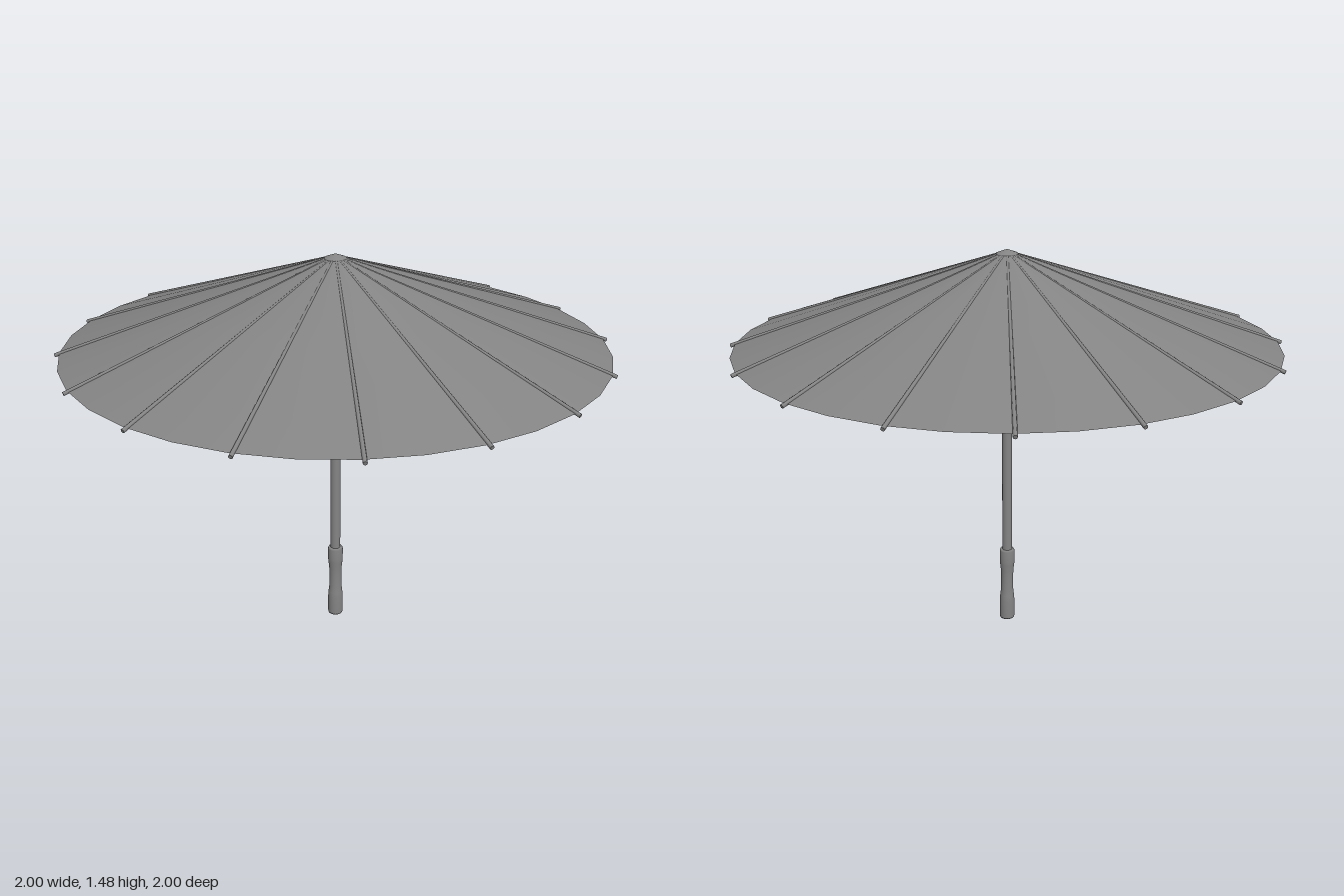
import * as THREE from 'three';

const RIBS = 16;
const APEX = 1.474, RIM_Y = 1.132, RIM_R = 0.998;
const canopyY = (r) => APEX + (RIM_Y - APEX) * (r / RIM_R);

export function createModel() {
  const group = new THREE.Group();
  const mat = new THREE.MeshStandardMaterial({ color: 0x848484 });
  const thin = new THREE.MeshStandardMaterial({ color: 0x848484, side: THREE.DoubleSide });

  const add = (name, geometry, material = mat, parent = group) => {
    const mesh = new THREE.Mesh(geometry, material);
    mesh.name = name;
    parent.add(mesh);
    return mesh;
  };
  const lathe = (name, points, segments = 24, material = mat) =>
    add(name, new THREE.LatheGeometry(points.map(([r, y]) => new THREE.Vector2(r, y)), segments), material);

  // Straight round rod between two points, with its own radius at each end
  const rod = (name, a, b, ra, rb, parent) => {
    const dir = b.clone().sub(a);
    const mesh = add(name, new THREE.CylinderGeometry(rb, ra, dir.length(), 8), mat, parent);
    mesh.position.copy(a).add(b).multiplyScalar(0.5);
    mesh.quaternion.setFromUnitVectors(new THREE.Vector3(0, 1, 0), dir.normalize());
  };

  // Canopy: thin shallow cone
  lathe('canopy', [[RIM_R, RIM_Y], [RIM_R / 2, canopyY(RIM_R / 2)], [0.005, canopyY(0.005)]], 32, thin);

  // Low cap following the slope of the peak
  lathe('topCap', [[0, 1.452], [0.039, 1.452], [0.041, 1.457], [0.039, 1.464], [0.02, 1.471], [0, 1.478]]);

  // Shaft
  const shaft = add('shaft', new THREE.CylinderGeometry(0.019, 0.019, 1.2, 20));
  shaft.position.y = 0.86;

  // Grip with a narrow waist
  lathe('handle', [
    [0, 0], [0.027, 0], [0.029, 0.006], [0.029, 0.075], [0.027, 0.1], [0.024, 0.125],
    [0.0235, 0.18], [0.025, 0.21], [0.028, 0.235], [0.029, 0.25], [0.029, 0.292], [0.026, 0.298], [0, 0.298],
  ]);

  // Upper hub and sliding runner
  const collar = (name, y, r, h) => lathe(name, [
    [0, y - h / 2], [r - 0.004, y - h / 2], [r, y - h / 2 + 0.004],
    [r, y + h / 2 - 0.004], [r - 0.004, y + h / 2], [0, y + h / 2],
  ]);
  collar('upperHub', 1.447, 0.031, 0.026);
  collar('runner', 1.187, 0.031, 0.025);

  // Ribs along the canopy, each with a strut from the runner
  for (let i = 0; i < RIBS; i++) {
    const spoke = new THREE.Group();
    spoke.name = 'spoke' + (i + 1);
    spoke.rotation.y = ((i + 0.5) / RIBS) * Math.PI * 2 + 0.01;
    const at = (r, y) => new THREE.Vector3(r, y, 0);
    rod('rib', at(0.025, canopyY(0.025) - 0.004), at(1.013, canopyY(1.013)), 0.005, 0.0075, spoke);
    rod('strut', at(0.025, 1.189), at(0.29, canopyY(0.29) - 0.004), 0.0025, 0.0025, spoke);
    group.add(spoke);
  }
  return group;
}
